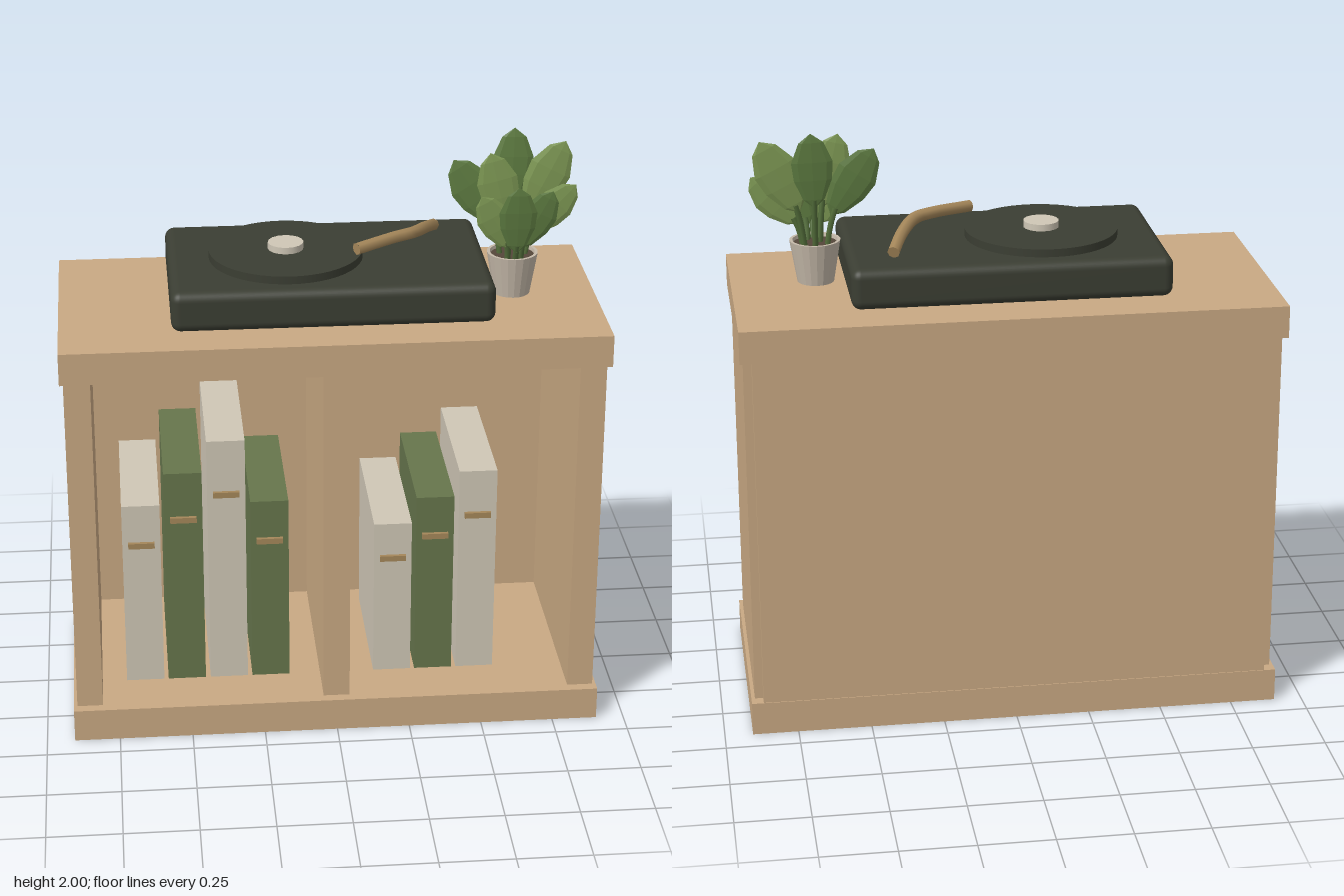
import * as THREE from 'three';
import { RoundedBoxGeometry } from 'three/addons/geometries/RoundedBoxGeometry.js';

const mat = (color, flatShading = false) => new THREE.MeshStandardMaterial({ color, flatShading });
const wood = mat(0xc9a983), dark = mat(0x3b3e33), cream = mat(0xcfc7b6), bookGreen = mat(0x66754c);
const brass = mat(0xa5875a), potGrey = mat(0xc6baaa), soil = mat(0x54463a);
const leafGreens = [mat(0x5f7d42, true), mat(0x7f9a55, true)], stemGreen = mat(0x55703c);

function add(parent, name, geometry, material, x = 0, y = 0, z = 0) {
  const mesh = new THREE.Mesh(geometry, material);
  mesh.name = name;
  mesh.position.set(x, y, z);
  parent.add(mesh);
  return mesh;
}

// Box given by its limits on each axis
function block(parent, name, material, [x0, x1], [y0, y1], [z0, z1]) {
  return add(parent, name, new THREE.BoxGeometry(x1 - x0, y1 - y0, z1 - z0), material,
    (x0 + x1) / 2, (y0 + y1) / 2, (z0 + z1) / 2);
}

function group(parent, name) {
  const g = new THREE.Group();
  g.name = name;
  parent.add(g);
  return g;
}

function buildCabinet(root) {
  const g = group(root, 'cabinet');
  const inner = [0.115, 1.335];
  block(g, 'bottomBoard', wood, [-0.905, 0.905], [0, 0.115], [-0.415, 0.415]);
  block(g, 'topBoard', wood, [-0.905, 0.905], [1.335, 1.445], [-0.415, 0.415]);
  block(g, 'leftSide', wood, [0.805, 0.893], inner, [-0.375, 0.38]);
  block(g, 'rightSide', wood, [-0.893, -0.805], inner, [-0.375, 0.38]);
  block(g, 'divider', wood, [-0.045, 0.045], inner, [-0.375, 0.38]);
  block(g, 'backPanel', wood, [-0.865, 0.865], inner, [-0.412, -0.372]);
}

function buildBooks(root) {
  const g = group(root, 'books');
  // centre x, top y, label y, green or cream
  const books = [
    [-0.655, 0.795, 0.648, false], [-0.51, 0.912, 0.74, true], [-0.363, 1.027, 0.83, false],
    [-0.217, 0.795, 0.648, true], [0.207, 0.69, 0.562, false], [0.352, 0.786, 0.642, true],
    [0.498, 0.88, 0.716, false],
  ];
  for (const [x, top, label, green] of books) {
    block(g, 'book', green ? bookGreen : cream, [x - 0.065, x + 0.065], [0.118, top], [-0.3, 0.225]);
    block(g, 'bookLabel', brass, [x - 0.045, x + 0.045], [label - 0.01, label + 0.01], [0.22, 0.238]);
  }
}

function buildTurntable(root) {
  const g = group(root, 'turntable');
  add(g, 'plinth', new RoundedBoxGeometry(1.065, 0.138, 0.64, 4, 0.032), dark, -0.003, 1.531, 0);
  add(g, 'platter', new THREE.CylinderGeometry(0.258, 0.258, 0.03, 48), dark, -0.14, 1.612, 0);
  add(g, 'hub', new THREE.CylinderGeometry(0.06, 0.06, 0.024, 16), cream, -0.14, 1.638, 0);
  const arm = new THREE.CatmullRomCurve3([
    [0.38, 1.62, -0.195], [0.34, 1.652, -0.09], [0.285, 1.672, 0.01], [0.22, 1.675, 0.055], [0.085, 1.668, 0.135],
  ].map(p => new THREE.Vector3(...p)));
  add(g, 'toneArm', new THREE.TubeGeometry(arm, 20, 0.021, 8), brass);
  for (const end of [0, 1]) {
    const cap = add(g, 'toneArmEnd', new THREE.CircleGeometry(0.021, 8), brass);
    cap.position.copy(arm.getPoint(end));
    cap.lookAt(cap.position.clone().addScaledVector(arm.getTangent(end), end ? 1 : -1));
  }
}

// Unit-length leaf blade: a pointed lathe, flattened front to back
function leafGeometry() {
  const profile = [[0, 0], [0.12, 0.12], [0.215, 0.38], [0.235, 0.62], [0.14, 0.88], [0, 1]];
  return new THREE.LatheGeometry(profile.map(p => new THREE.Vector2(...p)), 8).scale(1, 1, 0.2);
}

function buildPlant(root) {
  const g = group(root, 'plant');
  const cx = 0.62, cz = 0.035;
  const pot = [[0, 0], [0.062, 0], [0.086, 0.145], [0.076, 0.145], [0.072, 0.12]];
  add(g, 'pot', new THREE.LatheGeometry(pot.map(p => new THREE.Vector2(...p)), 20), potGrey, cx, 1.46, cz)
    .material = Object.assign(potGrey, { side: THREE.DoubleSide, flatShading: true });
  add(g, 'soil', new THREE.CylinderGeometry(0.076, 0.07, 0.02, 20), soil, cx, 1.583, cz);

  // Leaf tips and lengths; each stem runs from the soil to its leaf base
  const leaves = [
    [0.635, 2.0, -0.08, 0.26], [0.8, 1.965, -0.03, 0.28], [0.42, 1.92, 0.0, 0.27],
    [0.83, 1.83, 0.025, 0.23], [0.62, 1.87, 0.15, 0.24], [0.5, 1.83, 0.115, 0.22],
    [0.74, 1.84, 0.11, 0.23], [0.535, 1.96, 0.055, 0.26],
  ];
  const blade = leafGeometry(), up = new THREE.Vector3(0, 1, 0);
  leaves.forEach(([x, y, z, length], i) => {
    const tip = new THREE.Vector3(x, y, z);
    const root0 = new THREE.Vector3(cx + (x - cx) * 0.2, 1.58, cz + (z - cz) * 0.5);
    const dir = new THREE.Vector3((x - cx) * 1.05, y - 1.6, (z - cz) * 0.25).normalize();
    const base = tip.clone().addScaledVector(dir, -length);
    const leaf = add(g, 'leaf', blade, leafGreens[i % 2], base.x, base.y, base.z);
    leaf.quaternion.setFromUnitVectors(up, dir);
    leaf.scale.set(length * 1.12, length, length * 0.75);
    const bend = base.clone().lerp(root0, 0.5);
    bend.y += 0.015;
    const end = base.clone().addScaledVector(dir, 0.03);
    add(g, 'stem', new THREE.TubeGeometry(new THREE.QuadraticBezierCurve3(root0, bend, end), 6, 0.01, 6), stemGreen);
  });
}

export function createModel() {
  const root = new THREE.Group();
  root.name = 'recordCabinet';
  buildCabinet(root);
  buildBooks(root);
  buildTurntable(root);
  buildPlant(root);
  return root;
}
